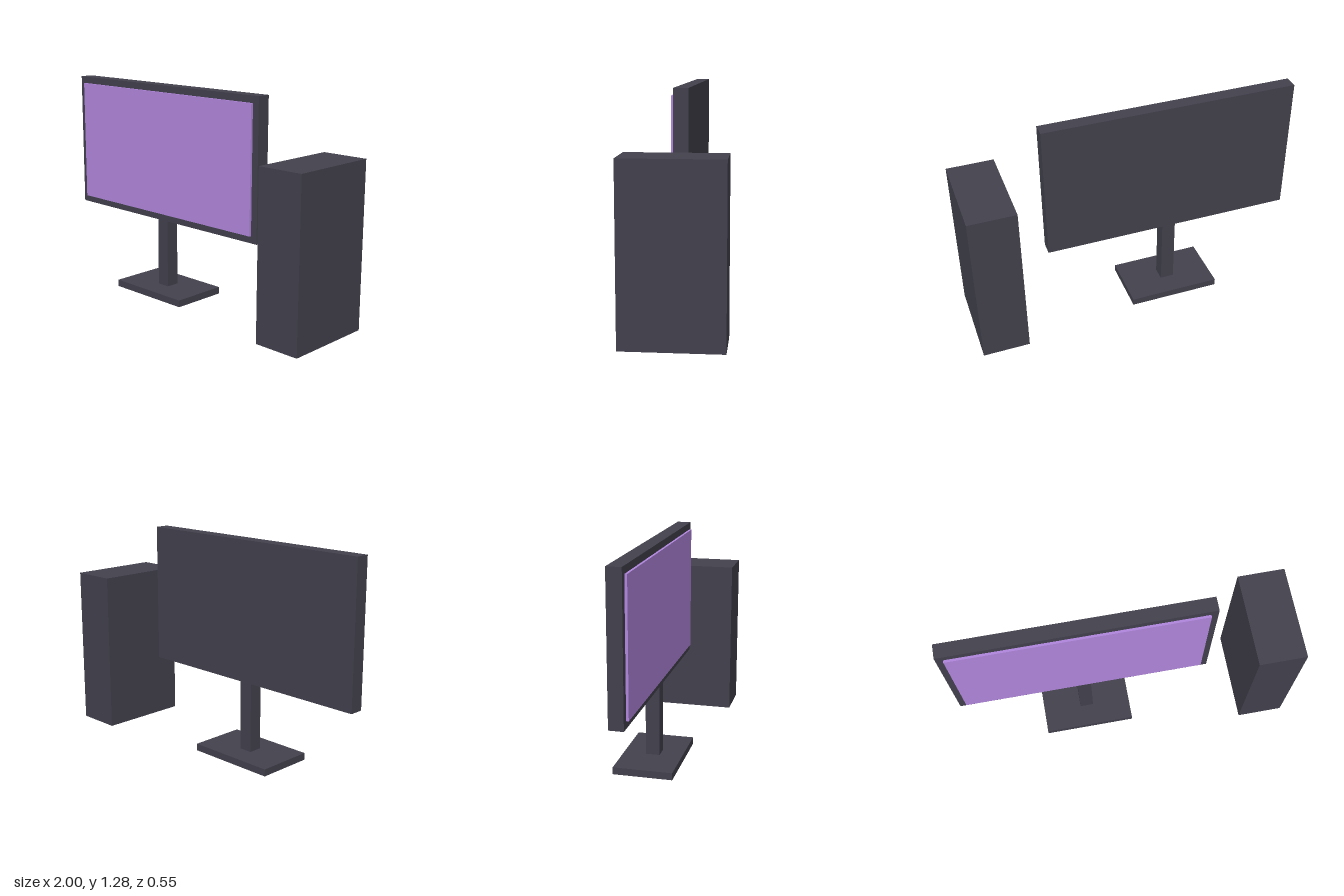
import * as THREE from 'three';

export function createModel() {
  const group = new THREE.Group();
  const dark = new THREE.MeshStandardMaterial({ color: 0x42414d });
  const purple = new THREE.MeshStandardMaterial({ color: 0xb186dd });

  // Box given by its centre x, bottom y, centre z and its size
  function addBox(name, material, [x, y, z], [w, h, d]) {
    const mesh = new THREE.Mesh(new THREE.BoxGeometry(w, h, d), material);
    mesh.name = name;
    mesh.position.set(x, y + h / 2, z);
    group.add(mesh);
  }

  const monitorX = -0.242;

  // Monitor: foot, neck, casing and the slightly raised screen
  addBox('standBase', dark, [monitorX, 0, 0], [0.55, 0.042, 0.344]);
  addBox('standNeck', dark, [monitorX, 0.042, 0], [0.082, 0.416, 0.082]);
  addBox('monitorCasing', dark, [monitorX, 0.458, 0], [1.516, 0.827, 0.082]);
  addBox('screen', purple, [monitorX, 0.5, 0.048], [1.434, 0.744, 0.014]);

  // Computer tower beside the monitor
  addBox('computerTower', dark, [0.862, 0, 0], [0.276, 0.967, 0.55]);

  return group;
}
